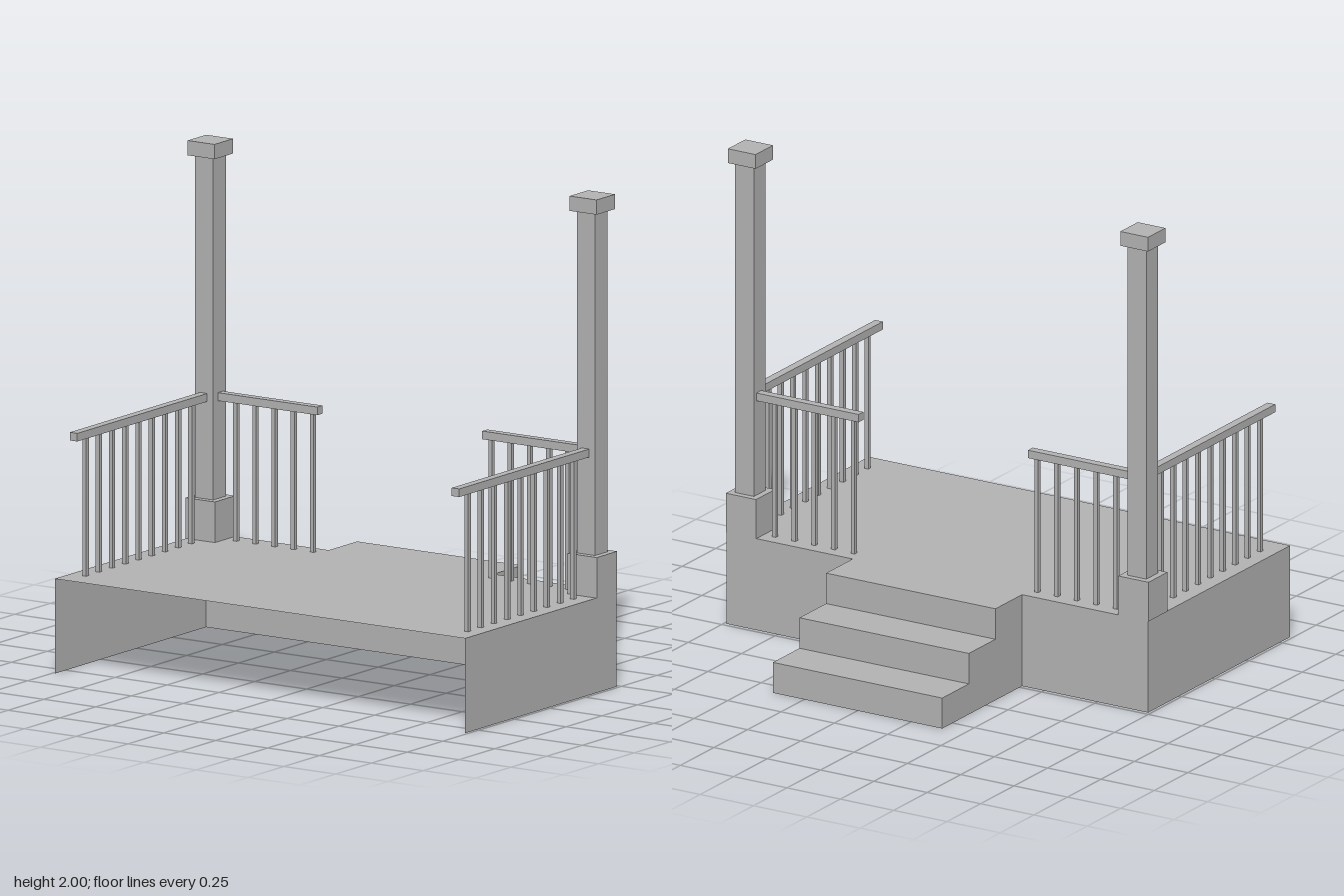
import * as THREE from 'three';

export function createModel() {
  const model = new THREE.Group();
  model.name = 'porch';
  const grey = new THREE.MeshStandardMaterial({ color: 0xb4b4b4, side: THREE.DoubleSide });
  grey.name = 'plain grey';

  const add = (name, geometry, x, y, z, parent = model) => {
    const mesh = new THREE.Mesh(geometry, grey);
    mesh.name = name;
    mesh.position.set(x, y, z);
    parent.add(mesh);
    return mesh;
  };
  const box = (name, w, h, d, x, y, z, parent) =>
    add(name, new THREE.BoxGeometry(w, h, d), x, y, z, parent);
  // Single-sheet panels: level (facing up), back (facing -z), side (facing +x or -x)
  const level = (name, w, z0, z1, y) =>
    add(name, new THREE.PlaneGeometry(w, z1 - z0).rotateX(-Math.PI / 2), 0, y, (z0 + z1) / 2);
  const back = (name, w, y0, y1, z) =>
    add(name, new THREE.PlaneGeometry(w, y1 - y0).rotateY(Math.PI), 0, (y0 + y1) / 2, z);

  const H = 0.385, HALF = 0.988, FRONT = 0.827, BACK = -0.232;

  // Deck, open at the front and underneath
  level('deckFloor', HALF * 2, BACK, FRONT, H);
  back('backSkirt', HALF * 2, 0, H, BACK);
  for (const s of [1, -1]) {
    const wall = new THREE.PlaneGeometry(FRONT - BACK, H).rotateY(s * Math.PI / 2);
    add(s > 0 ? 'leftSkirt' : 'rightSkirt', wall, s * HALF, H / 2, (FRONT + BACK) / 2);
  }

  // Steps: treads and risers, hollow below
  const RUN = 0.1983, RISE = H / 3, STEP_HALF = 0.397;
  const outline = [[0, 0]];
  for (let i = 0; i < 3; i++) {
    const y = H - i * RISE, z = BACK - i * RUN;
    level('tread', STEP_HALF * 2, z - RUN, z, y);
    back('riser', STEP_HALF * 2, y - RISE, y, z - RUN);
    outline.push([i * RUN, y], [(i + 1) * RUN, y]);
  }
  outline.push([3 * RUN, 0]);
  const profile = new THREE.Shape(outline.map(([a, b]) => new THREE.Vector2(a, b)));
  for (const s of [1, -1]) {
    add('stepSide', new THREE.ShapeGeometry(profile).rotateY(Math.PI / 2), s * STEP_HALF, 0, BACK);
  }

  // Posts and railings, one set on each side
  const PX = 0.92, PZ = -0.163, RAIL_BOTTOM = 0.947, RAIL_TOP = 0.98, GAP = 0.0925;
  const railY = (RAIL_BOTTOM + RAIL_TOP) / 2, railH = RAIL_TOP - RAIL_BOTTOM;
  const balusterH = RAIL_BOTTOM - H, balusterY = (RAIL_BOTTOM + H) / 2;
  for (const s of [1, -1]) {
    const side = new THREE.Group();
    side.name = s > 0 ? 'leftPostAndRails' : 'rightPostAndRails';
    model.add(side);

    box('postBase', 0.142, 0.165, 0.142, s * PX, H + 0.0825, PZ, side);
    box('postShaft', 0.088, 1.94 - H, 0.088, s * PX, (1.94 + H) / 2, PZ, side);
    box('postCap', 0.13, 0.06, 0.13, s * PX, 1.97, PZ, side);

    // Side railing
    box('sideRail', 0.036, railH, 0.91, s * PX, railY, 0.34, side);
    for (let i = 0; i < 9; i++) {
      box('sideBaluster', 0.018, balusterH, 0.018, s * PX, balusterY, 0.71 - i * GAP, side);
    }

    // Back railing beside the steps
    box('backRail', 0.485, railH, 0.036, s * 0.6395, railY, -0.17, side);
    for (let i = 0; i < 5; i++) {
      box('backBaluster', 0.018, balusterH, 0.018, s * (0.43 + i * GAP), balusterY, -0.17, side);
    }
  }
  return model;
}
